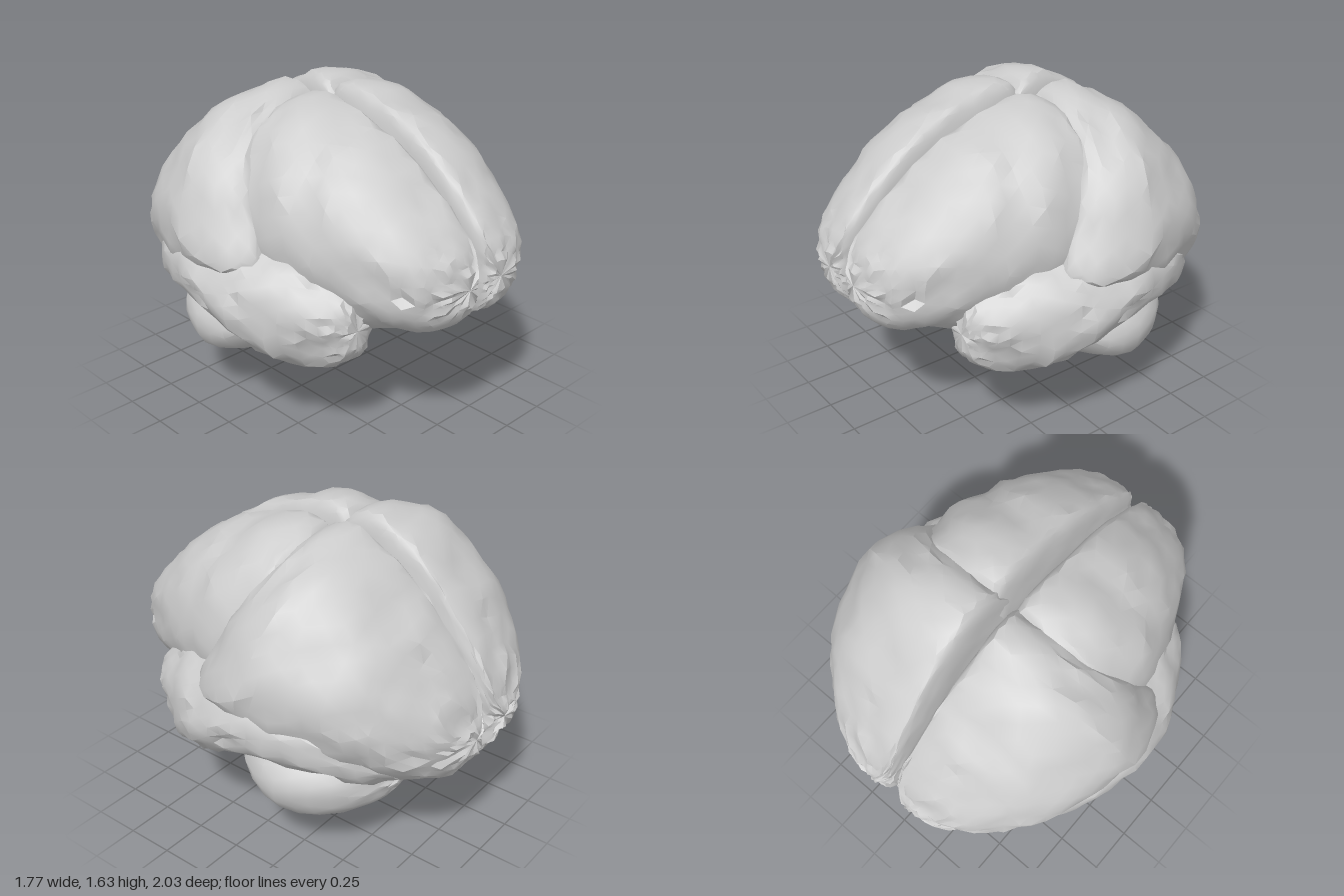
import * as THREE from 'three';
import { toCreasedNormals } from 'three/addons/utils/BufferGeometryUtils.js';

// Closed surface lofted through rings; point(u, angle) returns [x, y, z]
function loft(rows, cols, side, point) {
  const pos = [], index = [];
  const tri = (a, b, c) => (side > 0 ? index.push(a, b, c) : index.push(a, c, b));
  const ends = [[0, 0, 0], [0, 0, 0]];
  for (let i = 0; i <= rows; i++) {
    for (let j = 0; j < cols; j++) {
      // stagger alternate rings for an irregular mesh
      const p = point(i / rows, ((j + (i % 2) * 0.5) / cols) * Math.PI * 2);
      pos.push(p[0] * side, p[1], p[2]);
      const end = i === 0 ? ends[0] : i === rows ? ends[1] : null;
      if (end) p.forEach((v, k) => { end[k] += v / cols; });
    }
  }
  ends.forEach((e) => pos.push(e[0] * side, e[1], e[2]));
  const front = (rows + 1) * cols;
  for (let j = 0; j < cols; j++) {
    const k = (j + 1) % cols, last = rows * cols;
    for (let i = 0; i < rows; i++) {
      const a = i * cols + j, b = i * cols + k, c = a + cols, d = b + cols;
      if (i % 2) { tri(a, c, d); tri(a, d, b); } else { tri(a, c, b); tri(b, c, d); }
    }
    tri(front, j, k);
    tri(front + 1, last + k, last + j);
  }
  const g = new THREE.BufferGeometry();
  g.setAttribute('position', new THREE.Float32BufferAttribute(pos, 3));
  g.setIndex(index);
  return toCreasedNormals(g, 0.55);
}

// Smooth interpolation through rows of key values
function spline(keys) {
  const n = keys.length, size = keys[0].length;
  const it = new THREE.CubicInterpolant(keys.map((_, i) => i), keys.flat(), size, new Float32Array(size));
  return (u) => [...it.evaluate(Math.min(u * (n - 1), n - 1.0001))];
}

const hash = (x, y, z) => {
  const s = Math.sin(x * 127.1 + y * 311.7 + z * 74.7) * 43758.5453;
  return s - Math.floor(s) - 0.5;
};

// Rounded folds separated by narrow furrows, plus a little unevenness
function folds(x, y, z, freq) {
  const a = Math.sin(freq * (z * 0.9 + 0.5 * y) + 1.8 * Math.sin(5 * y + 3 * x));
  const b = Math.sin(freq * (y * 0.9 - 0.35 * z) + 1.6 * Math.sin(6 * z + 2 * x) + 1);
  return 0.55 * Math.sqrt(Math.abs(a)) + 0.45 * Math.sqrt(Math.abs(b)) - 0.78 + 0.3 * hash(x, y, z);
}

// Lobe keys: z, inner x, outer x, bottom y, widest y, top y (front to back)
function lobe({ keys, rows, cols, centre, inner, amp, freq, slant = 0 }, side) {
  const at = spline(keys);
  return loft(rows, cols, side, (u, t) => {
    const [z, xin, xout, yb, ym, yt] = at(u);
    const c = Math.cos(t), s = Math.sin(t);
    const xc = xin + (xout - xin) * centre;
    let x = c > 0 ? xc + (xout - xc) * c : xc - (xc - xin) * Math.pow(-c, inner);
    let y = ym + s * (s > 0 ? yt - ym : ym - yb);
    const d = amp * folds(x, y, z, freq) * (c > -0.2 ? 1 : 0.35);
    x = Math.max(0.008, x + d * c);
    y += d * s;
    // lean the front edge forward as it descends
    const w = THREE.MathUtils.clamp((z + 0.6) / 0.5, 0, 1);
    const lean = slant * w * Math.min(1.6 - y, 0.65);
    return [x, y, z + lean + amp * 0.5 * hash(y, z, x)];
  });
}

const LOBES = {
  frontalLobe: {
    rows: 24, cols: 34, centre: 0.2, inner: 0.4, amp: 0.05, freq: 11,
    keys: [
      [1.0, 0.06, 0.2, 0.82, 0.9, 0.98],
      [0.96, 0.025, 0.31, 0.74, 0.89, 1.06],
      [0.88, 0.015, 0.4, 0.67, 0.9, 1.17],
      [0.75, 0.015, 0.48, 0.61, 0.94, 1.31],
      [0.58, 0.015, 0.56, 0.59, 0.98, 1.44],
      [0.38, 0.015, 0.63, 0.59, 1.02, 1.53],
      [0.18, 0.015, 0.67, 0.6, 1.05, 1.59],
      [0.0, 0.015, 0.66, 0.62, 1.05, 1.615],
      [-0.09, 0.02, 0.62, 0.68, 1.05, 1.58],
      [-0.14, 0.05, 0.5, 0.75, 1.05, 1.5],
    ],
  },
  parietalAndOccipitalLobe: {
    rows: 26, cols: 38, centre: 0.14, inner: 0.4, amp: 0.055, freq: 10, slant: 0.5,
    keys: [
      [-0.1, 0.05, 0.62, 0.8, 1.0, 1.5],
      [-0.11, 0.02, 0.72, 0.74, 0.98, 1.58],
      [-0.18, 0.015, 0.81, 0.68, 0.96, 1.625],
      [-0.3, 0.015, 0.865, 0.64, 0.96, 1.61],
      [-0.45, 0.015, 0.82, 0.6, 0.96, 1.54],
      [-0.6, 0.015, 0.73, 0.53, 0.94, 1.42],
      [-0.75, 0.015, 0.61, 0.5, 0.9, 1.25],
      [-0.88, 0.015, 0.47, 0.52, 0.83, 1.07],
      [-0.96, 0.03, 0.34, 0.61, 0.77, 0.91],
      [-1.0, 0.09, 0.2, 0.7, 0.76, 0.81],
    ],
  },
  temporalLobe: {
    rows: 24, cols: 28, centre: 0.5, inner: 0.9, amp: 0.05, freq: 10,
    keys: [
      [0.65, 0.41, 0.55, 0.6, 0.69, 0.77],
      [0.61, 0.34, 0.61, 0.52, 0.69, 0.85],
      [0.5, 0.27, 0.69, 0.45, 0.7, 0.94],
      [0.34, 0.22, 0.79, 0.42, 0.71, 1.0],
      [0.18, 0.2, 0.86, 0.46, 0.73, 1.02],
      [0.0, 0.2, 0.88, 0.56, 0.77, 1.03],
      [-0.2, 0.18, 0.87, 0.6, 0.81, 1.05],
      [-0.42, 0.16, 0.79, 0.58, 0.8, 1.02],
      [-0.62, 0.15, 0.66, 0.54, 0.76, 0.95],
      [-0.78, 0.2, 0.5, 0.58, 0.72, 0.85],
    ],
  },
  cerebellum: {
    rows: 14, cols: 22, centre: 0.55, inner: 0.9, amp: 0.03, freq: 7,
    keys: [
      [0.09, 0.33, 0.5, 0.46, 0.53, 0.6],
      [0.05, 0.26, 0.61, 0.4, 0.52, 0.64],
      [-0.08, 0.17, 0.7, 0.31, 0.48, 0.67],
      [-0.25, 0.1, 0.73, 0.24, 0.46, 0.68],
      [-0.42, 0.05, 0.68, 0.26, 0.46, 0.66],
      [-0.56, 0.04, 0.55, 0.31, 0.46, 0.61],
      [-0.63, 0.08, 0.4, 0.37, 0.46, 0.56],
      [-0.66, 0.15, 0.3, 0.42, 0.46, 0.51],
    ],
  },
};

// Stem keys: y, half width, z centre, half depth (top to bottom)
const STEM = [
  [0.85, 0.16, 0.05, 0.2],
  [0.66, 0.2, 0.03, 0.25],
  [0.54, 0.22, 0.0, 0.22],
  [0.42, 0.21, -0.05, 0.19],
  [0.32, 0.18, -0.1, 0.16],
  [0.2, 0.13, -0.125, 0.1],
  [0.08, 0.08, -0.13, 0.07],
  [0.0, 0.05, -0.13, 0.055],
];

export function createModel() {
  const grey = new THREE.MeshStandardMaterial({ color: 0xcccccc });
  grey.name = 'grey tissue';
  const brain = new THREE.Group();
  brain.name = 'brain';

  // Paired lobes
  for (const [name, spec] of Object.entries(LOBES)) {
    for (const side of [1, -1]) {
      const mesh = new THREE.Mesh(lobe(spec, side), grey);
      mesh.name = (side > 0 ? 'left ' : 'right ') + name;
      brain.add(mesh);
    }
  }

  // Brainstem tapering to a blunt tip
  const at = spline(STEM);
  const stem = new THREE.Mesh(loft(9, 12, 1, (u, t) => {
    const [y, w, z, d] = at(u);
    return [w * Math.cos(t), Math.max(0, y), z - d * Math.sin(t)];
  }), grey);
  stem.name = 'brainstem';
  brain.add(stem);
  return brain;
}
